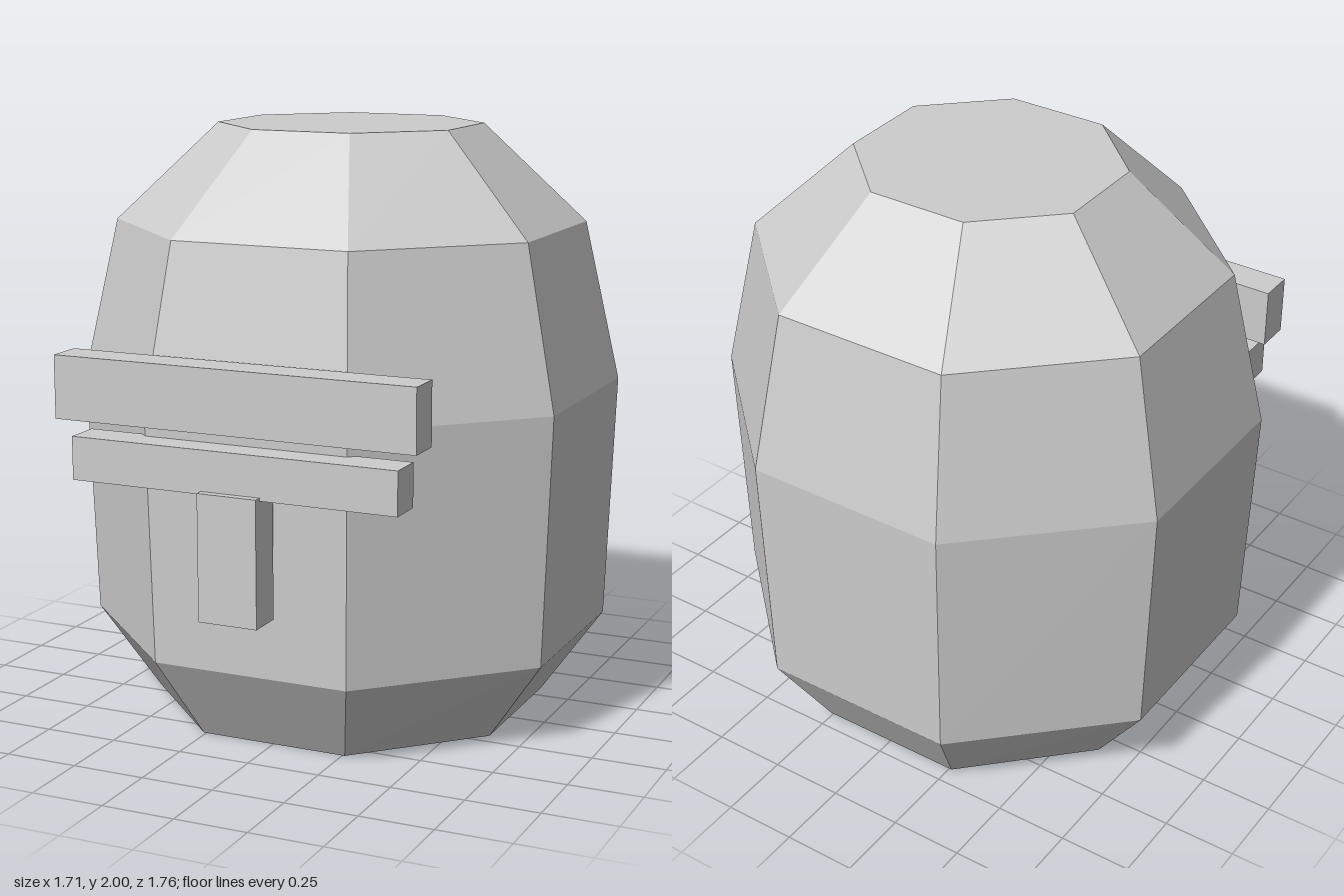
import * as THREE from 'three';

export function createModel() {
  const model = new THREE.Group();
  const grey = new THREE.MeshStandardMaterial({ color: 0xcccccc, flatShading: true });
  grey.name = 'light grey';

  // Eight-sided barrel: [height, half width, half depth] of each ring
  const rings = [
    [0, 0.625, 0.625], [0.29, 0.825, 0.8], [1.13, 0.855, 0.82],
    [1.67, 0.742, 0.71], [2, 0.417, 0.397],
  ];
  const corner = Math.tan(Math.PI / 8);
  const octagon = ([y, w, d]) => [
    [w * corner, d], [w, d * corner], [w, -d * corner], [w * corner, -d],
    [-w * corner, -d], [-w, -d * corner], [-w, d * corner], [-w * corner, d],
  ].map(([x, z]) => [x, y, z]);
  const loops = rings.map(octagon);
  const positions = [];
  const triangle = (a, b, c) => positions.push(...a, ...b, ...c);
  const bottom = loops[0];
  const top = loops[loops.length - 1];
  for (let i = 0; i < 8; i++) {
    const j = (i + 1) % 8;
    for (let k = 0; k < loops.length - 1; k++) {
      const [lo, hi] = [loops[k], loops[k + 1]];
      triangle(lo[i], lo[j], hi[j]);
      triangle(lo[i], hi[j], hi[i]);
    }
    // Flat caps
    triangle([0, 0, 0], bottom[j], bottom[i]);
    triangle([0, 2, 0], top[i], top[j]);
  }
  const bodyGeometry = new THREE.BufferGeometry();
  bodyGeometry.setAttribute('position', new THREE.Float32BufferAttribute(positions, 3));
  bodyGeometry.computeVertexNormals();
  const body = new THREE.Mesh(bodyGeometry, grey);
  body.name = 'body';
  body.position.z = -0.062;
  model.add(body);

  // Front bars and upright, each from its extents
  const addBox = (name, halfWidth, y0, y1, z0, z1) => {
    const mesh = new THREE.Mesh(new THREE.BoxGeometry(halfWidth * 2, y1 - y0, z1 - z0), grey);
    mesh.name = name;
    mesh.position.set(0, (y0 + y1) / 2, (z0 + z1) / 2);
    model.add(mesh);
  };
  addBox('upperBar', 0.623, 1.105, 1.313, 0.733, 0.855);
  addBox('lowerBar', 0.564, 0.91, 1.053, 0.733, 0.855);
  addBox('frontUpright', 0.102, 0.502, 0.92, 0.762, 0.883);

  return model;
}
